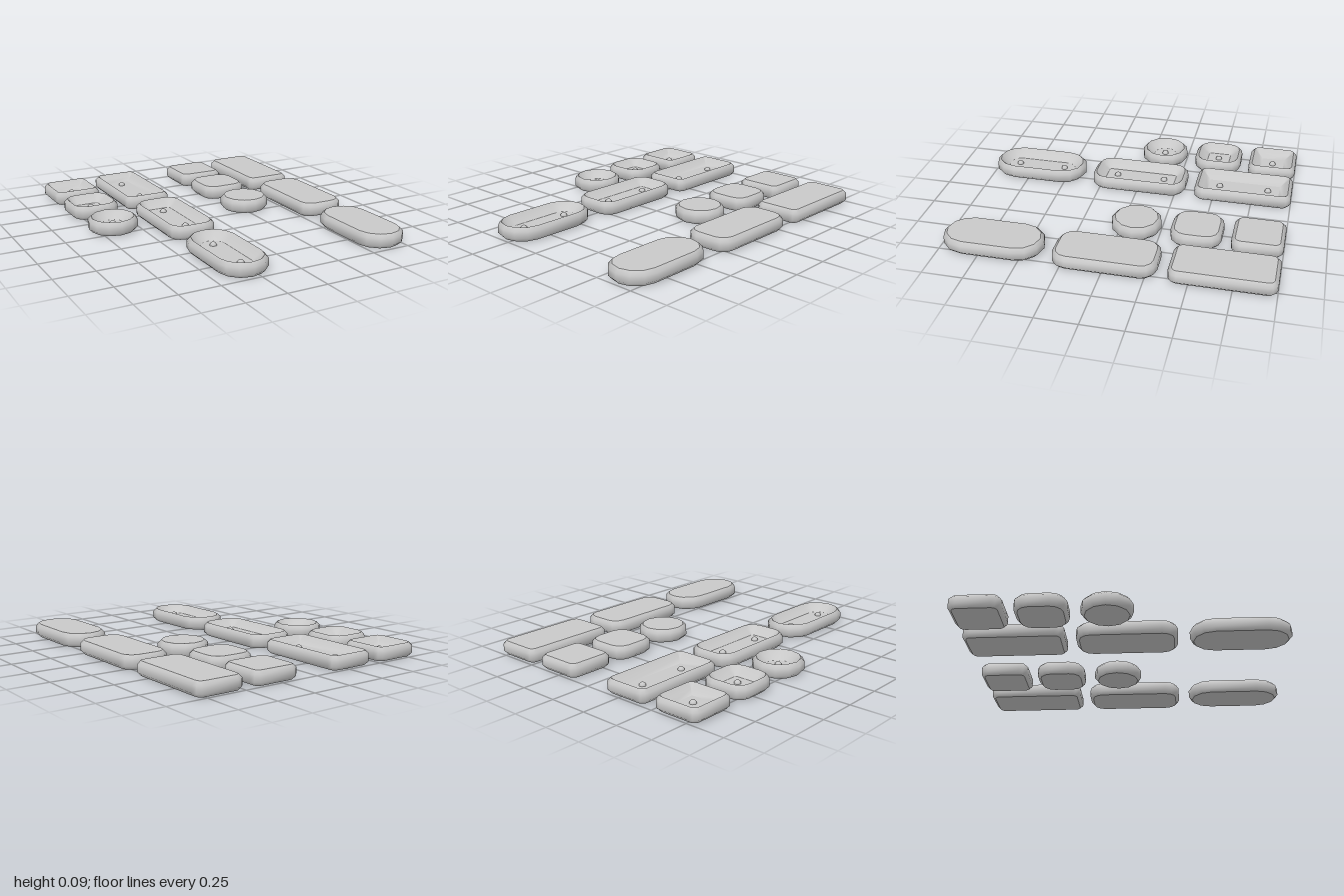
import * as THREE from 'three';
import { mergeVertices } from 'three/addons/utils/BufferGeometryUtils.js';

const H = 0.087;       // piece height
const BEVEL = 0.022;   // edge bevel
const FLOOR = 0.035;   // bowl floor height
const SEGS = 3;        // segments per rounded corner

// Rounded-rectangle ring at height y, inset from the outer outline
function ring(hx, hz, r, inset, y) {
  const rr = Math.max(r - inset, 0);
  const cx = hx - inset - rr, cz = hz - inset - rr;
  const pts = [];
  [[1, 1], [-1, 1], [-1, -1], [1, -1]].forEach(([sx, sz], q) => {
    for (let i = 0; i <= SEGS; i++) {
      const a = (q + i / SEGS) * Math.PI / 2;
      pts.push([sx * cx + rr * Math.cos(a), y, sz * cz + rr * Math.sin(a)]);
    }
  });
  return pts;
}

// Smooth surface lofted through a list of rings
function loft(rings) {
  const n = rings[0].length, idx = [];
  for (let k = 0; k < rings.length - 1; k++) {
    for (let i = 0; i < n; i++) {
      const j = (i + 1) % n, a = k * n, b = a + n;
      idx.push(a + i, b + i, a + j, a + j, b + i, b + j);
    }
  }
  return build(rings.flat(), idx);
}

// Flat face filling one ring
function cap(pts, up) {
  const n = pts.length, idx = [];
  for (let i = 0; i < n; i++) {
    const j = (i + 1) % n;
    if (up) idx.push(n, j, i); else idx.push(n, i, j);
  }
  return build([...pts, [0, pts[0][1], 0]], idx);
}

function build(points, idx) {
  let g = new THREE.BufferGeometry();
  g.setAttribute('position', new THREE.Float32BufferAttribute(points.flat(), 3));
  g.setIndex(idx);
  g = mergeVertices(g, 1e-5);
  g.computeVertexNormals();
  return g;
}

export function createModel() {
  const model = new THREE.Group();
  model.name = 'trayAndLidSet';
  const grey = new THREE.MeshStandardMaterial({ color: 0xc8c8c8 });
  grey.name = 'light grey';

  const add = (group, name, geometry) => {
    const mesh = new THREE.Mesh(geometry, grey);
    mesh.name = name;
    group.add(mesh);
    return mesh;
  };

  function piece(name, x, z, hx, hz, r, studs) {
    const g = new THREE.Group();
    g.name = name;
    g.position.set(x, 0, z);
    const at = (inset, y) => ring(hx, hz, r, inset, y);

    // Bevelled outer wall and flat underside
    add(g, 'side', loft([at(BEVEL, 0), at(0, BEVEL), at(0, H - BEVEL), at(BEVEL, H)]));
    add(g, 'underside', cap(at(BEVEL, 0), false));

    if (studs) {
      // Sunken bowl with small round studs on its floor
      add(g, 'bowlWall', loft([at(BEVEL, H), at(0.048, 0.058), at(0.081, FLOOR)]));
      add(g, 'bowlFloor', cap(at(0.081, FLOOR), true));
      for (const sz of studs) {
        add(g, 'stud', new THREE.SphereGeometry(0.021, 12, 8)).position.set(0, FLOOR, sz);
      }
    } else {
      add(g, 'flatTop', cap(at(BEVEL, H), true));
    }
    model.add(g);
  }

  // Outlines: name, x, z, half width, half depth, corner radius, stud offsets
  const W = 0.155, L = 0.31;
  const outlines = [
    ['square', -0.658, -0.845, W, W, 0.055, [0]],
    ['softSquare', -0.658, -0.475, W, W, 0.095, [0]],
    ['round', -0.658, -0.098, W, W, W, [0]],
    ['longSquare', -0.284, -0.69, W, L, 0.055, [-0.157, 0.157]],
    ['longSoft', -0.284, -0.003, W, L, 0.095, [-0.157, 0.157]],
    ['oval', -0.294, 0.688, W, L, W, [-0.157, 0.157]],
  ];

  // Open trays on one side, matching flat pieces on the other
  for (const [name, x, z, hx, hz, r, studs] of outlines) {
    piece(name + 'Tray', x, z, hx, hz, r, studs);
    piece(name + 'Block', x + 0.936, z, hx, hz, r, null);
  }
  return model;
}
